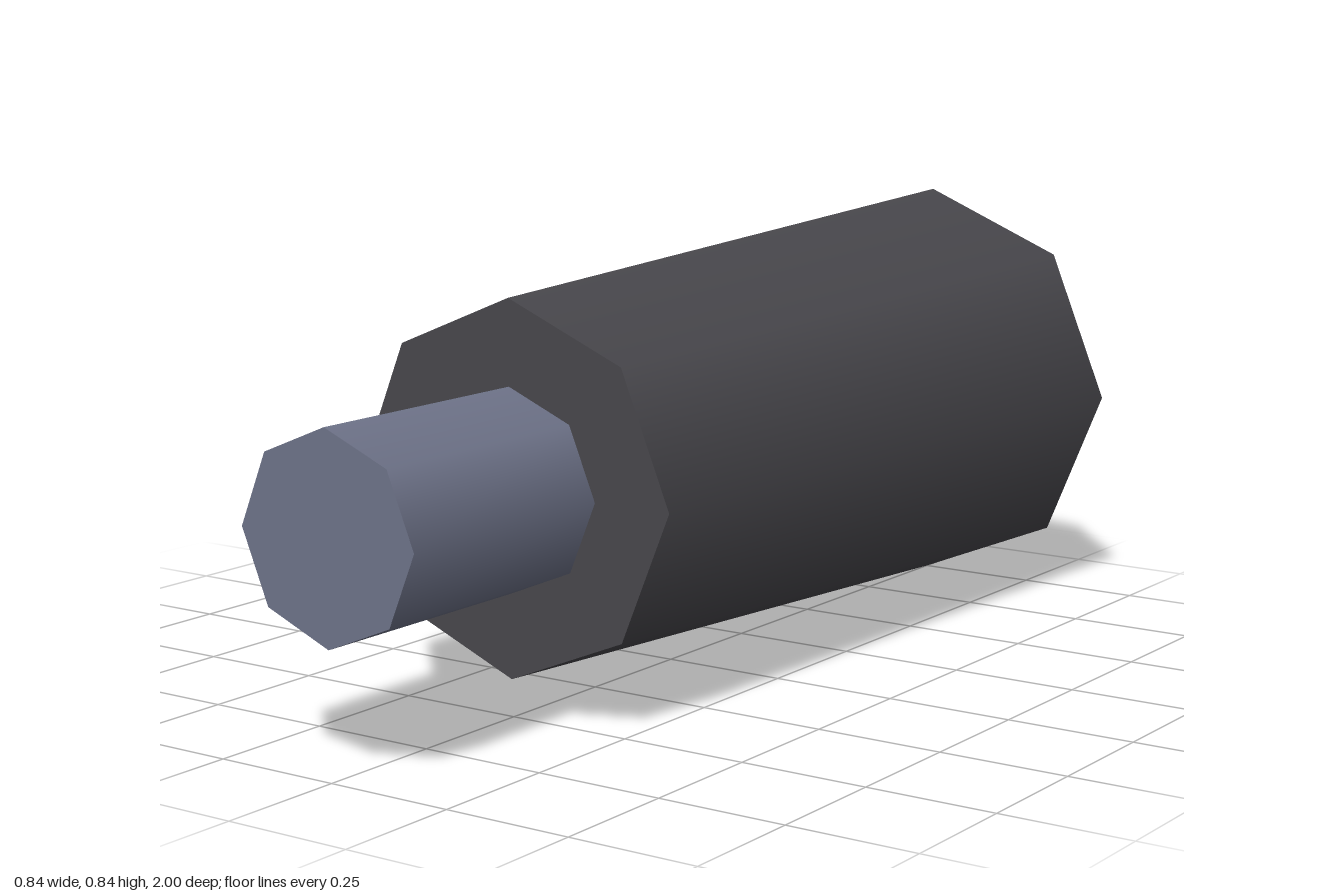
import * as THREE from 'three';

const SIDES = 8;
const AXIS_Y = 0.422;

// One band of revolution about the z axis, from (radius, z) to (radius, z).
// Each band is separate, so edges between bands stay sharp and walls stay smooth.
function band(name, material, [r0, z0], [r1, z1]) {
  const points = [new THREE.Vector2(r0, z0), new THREE.Vector2(r1, z1)];
  const geometry = new THREE.LatheGeometry(points, SIDES).rotateX(Math.PI / 2);
  const mesh = new THREE.Mesh(geometry, material);
  mesh.name = name;
  return mesh;
}

export function createModel() {
  const dark = new THREE.MeshStandardMaterial({ name: 'darkGrip', color: 0x48474c });
  const steel = new THREE.MeshStandardMaterial({ name: 'blueSteel', color: 0x6e7389 });

  // Tapered body with a blind socket in the back
  const body = new THREE.Group();
  body.name = 'taperedBody';
  body.add(
    band('socketFloor', dark, [0, -0.6], [0.23, -0.6]).rotateY(0),
    band('socketWall', dark, [0.23, -0.6], [0.23, -1]),
    band('rearRim', steel, [0.23, -1], [0.422, -1]),
    band('bodyWall', dark, [0.422, -1], [0.35, 0.505]),
    band('bodyFront', dark, [0.35, 0.505], [0, 0.505]),
  );
  // The floor faces out of the socket, towards the back
  // (its profile runs from the axis outward, like the rim).

  // Pin at the front
  const pin = new THREE.Group();
  pin.name = 'frontPin';
  pin.add(
    band('pinWall', steel, [0.19, 0.505], [0.19, 1]),
    band('pinEnd', steel, [0.19, 1], [0, 1]),
  );

  const model = new THREE.Group();
  model.name = 'taperedPlug';
  model.add(body, pin);
  body.position.y = pin.position.y = AXIS_Y;
  return model;
}
